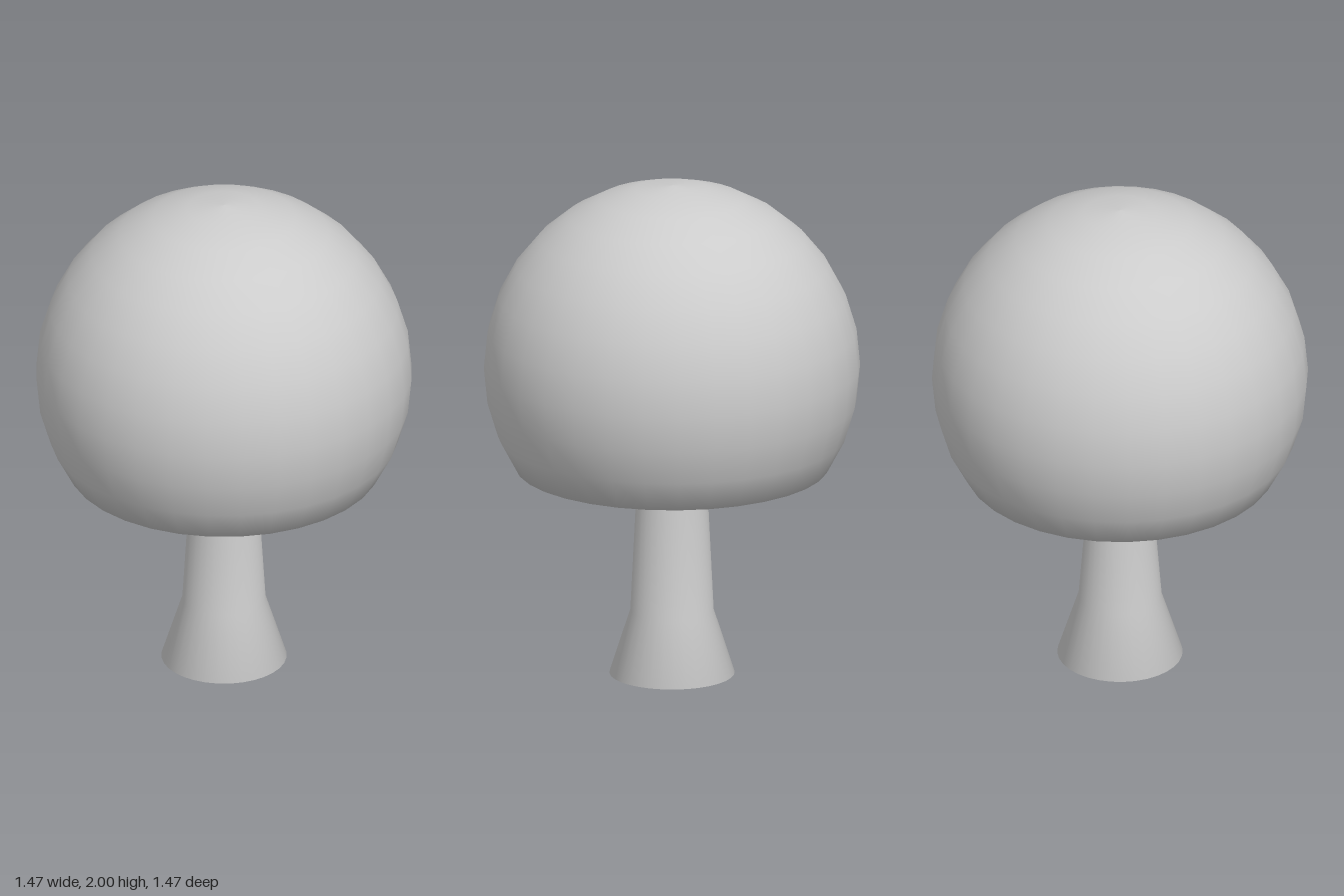
import * as THREE from 'three';

const SIDES = 32;
const STEM_TOP = 0.857;

function lathePart(name, profile) {
  const points = profile.map(([r, y]) => new THREE.Vector2(r, y));
  const mesh = new THREE.Mesh(
    new THREE.LatheGeometry(points, SIDES),
    new THREE.MeshStandardMaterial({ color: 0xcccccc })
  );
  mesh.name = name;
  return mesh;
}

export function createModel() {
  const group = new THREE.Group();
  group.name = 'mushroom';

  // Stem: slightly rounded foot, flared base, tapering shaft
  const stem = lathePart('stem', [
    [0, 0], [0.17, 0.003], [0.245, 0.02], [0.163, 0.275], [0.124, STEM_TOP],
  ]);
  // The shaft becomes gently oval towards its top
  const pos = stem.geometry.attributes.position;
  for (let i = 0; i < pos.count; i++) {
    const t = Math.max(0, (pos.getY(i) - 0.275) / (STEM_TOP - 0.275));
    pos.setX(i, pos.getX(i) * (1 - 0.09 * t));
    pos.setZ(i, pos.getZ(i) * (1 + 0.09 * t));
  }
  group.add(stem);

  // Cap: flat underside running out from the stem, then a sphere cut below its middle
  const radius = 0.735, centreY = 1.265, step = Math.PI / 16;
  const profile = [[0.105, STEM_TOP]];
  for (let i = -3; i <= 8; i++) {
    const r = i === 8 ? 0 : radius * Math.cos(i * step);
    profile.push([r, centreY + radius * Math.sin(i * step)]);
  }
  group.add(lathePart('cap', profile));

  return group;
}
